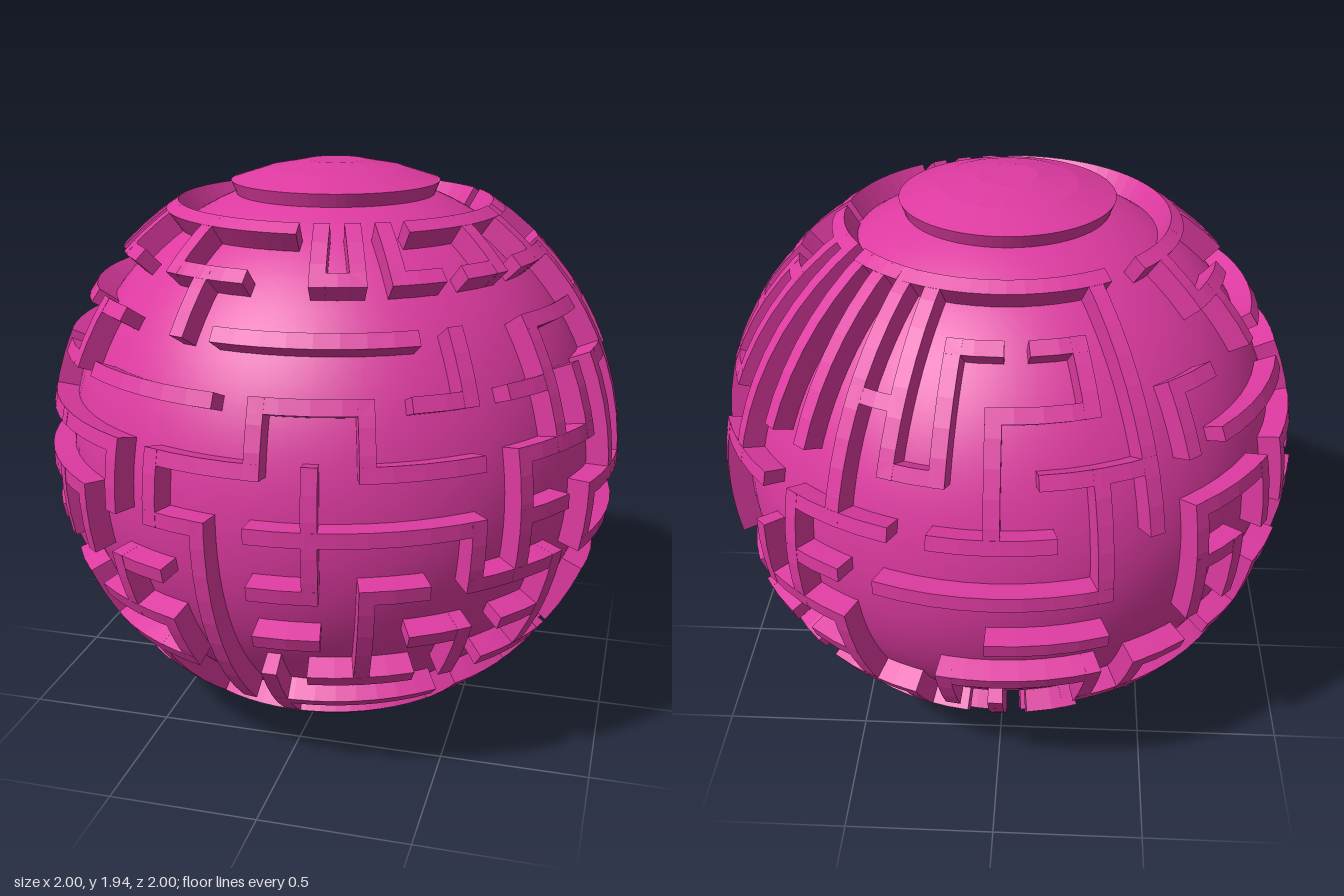
import * as THREE from 'three';
import { mergeGeometries } from 'three/addons/utils/BufferGeometryUtils.js';

const CY = 0.97, R_IN = 0.925, R_OUT = 1.0, HALF = 0.025;
const COL = Math.PI / 18, ROW = Math.PI / 16;

// Wall runs on a grid of meridians (10 deg) and parallels (11.25 deg), row 0 = equator.
// across: row -> [fromColumn, toColumn]; up: [column, fromRow, toRow]
const sectorA = {
  across: {
    4: [[-3, -1], [1, 2], [3, 4]],
    3: [[-5, -4], [-1, 3]],
    2: [[-4, -1], [0, 2], [3, 4]],
    1: [[-5, -3], [-2, 0], [2, 4]],
    0: [[-5, -4], [-2, -1], [0, 4]],
    '-1': [[-3, -2], [0, 1], [2, 3]],
    '-2': [[-4, -2], [0, 1], [3, 4]],
    '-3': [[-6, -2], [1, 3]],
    '-4': [[-5, -4], [0, 4]],
  },
  up: [[-3, 4, 5], [-2, 3, 4], [1, 4, 5], [2, 4, 5], [3, 4, 5], [4, 2, 3], [-5, 2, 3],
    [-2, 0, 1], [0, 1, 2], [2, 1, 2], [1, 0, 1], [-3, 0, 1], [-4, -1, 0], [-1, -4, 0],
    [1, -1, 0], [-3, -2, -1], [-2, -3, -2], [2, -3, -1], [4, -1, 0], [4, -3, -2],
    [0, -5, -3], [-3, -5, -3], [-4, -5, -4]],
};
const sectorB = {
  across: {
    4: [[-4, -3], [-2, 0], [1, 2]],
    3: [[-3, -1], [0, 1]],
    2: [[-4, -3], [-1, 0], [1, 2]],
    1: [[-4, -2], [2, 4]],
    0: [[-4, -3], [-2, 2]],
    '-1': [[-5, -3], [-2, 2]],
    '-2': [[-4, -3], [-1, 2], [3, 4]],
    '-3': [[-4, -2], [2, 4]],
    '-4': [[-4, -1], [1, 2]],
  },
  up: [[0, 0, 4], [-1, 0, 2], [-2, 1, 2], [-3, 1, 3], [-3, 4, 5], [-1, 4, 5], [1, 2, 4],
    [2, 2, 5], [3, 1, 5], [4, 2, 5], [-2, -1, 0], [2, -1, 0], [2, 0, 1], [-4, -1, 1],
    [-1, -3, -2], [2, -3, -2], [-3, -3, -1], [-2, -4, -3], [0, -5, -3], [1, -5, -4],
    [2, -5, -4], [3, -3, -2], [4, -1, 0], [-4, -5, -4]],
};
const sectorC = {
  across: {
    4: [[-1, 0], [1, 2]],
    3: [[0, 2], [-3, -2]],
    2: [[-2, -1], [1, 3]],
    1: [[-4, -2], [-1, 1]],
    0: [[-4, -3], [-2, 2]],
    '-1': [[-5, -3], [0, 2]],
    '-2': [[-4, -3], [-1, 2], [3, 4]],
    '-3': [[-4, -2], [2, 4]],
    '-4': [[-4, -1], [1, 2]],
  },
  up: [[0, 1, 3], [2, 3, 4], [-1, 2, 4], [-2, 2, 5], [-3, 1, 5], [-4, 2, 5], [3, 1, 5],
    [2, 0, 2], [4, -1, 1], [-4, -1, 1], [-1, -3, -2], [2, -3, -2], [-3, -3, -1],
    [-2, -4, -3], [0, -5, -3], [2, -5, -4], [3, -3, -2], [-4, -5, -4]],
};
const upperRing = [[-10, 0], [4, 8], [9, 12], [13, 14.5], [15.2, 21.3], [23.2, 26]];
const lowerRing = [[-3, 9], [10, 18], [19, 32]];

function onSphere(lon, lat, r) {
  const c = Math.cos(lat) * r;
  return [c * Math.sin(lon), Math.sin(lat) * r, c * Math.cos(lon)];
}

// Wall block following the sphere: a box bent onto longitude, latitude and radius.
// Walls keep a constant width, so their angle widens towards the poles.
function bentBox(lon0, lon1, lat0, lat1) {
  const nx = Math.max(1, Math.round((lon1 - lon0) / (COL / 2)));
  const ny = Math.max(1, Math.round((lat1 - lat0) / (ROW / 2)));
  const g = new THREE.BoxGeometry(1, 1, 1, nx, ny, 1);
  const p = g.attributes.position;
  for (let i = 0; i < p.count; i++) {
    const u = p.getX(i);
    const lat = THREE.MathUtils.lerp(lat0, lat1, p.getY(i) + 0.5);
    const lon = THREE.MathUtils.lerp(lon0, lon1, u + 0.5) + 2 * u * HALF / Math.cos(lat);
    p.setXYZ(i, ...onSphere(lon, lat, p.getZ(i) > 0 ? R_OUT : R_IN - 0.03));
  }
  return g;
}
const acrossWall = (row, a, b) => bentBox(a * COL, b * COL, row * ROW - HALF, row * ROW + HALF);
const upWall = (col, a, b) => bentBox(col * COL, col * COL, a * ROW - HALF, b * ROW + HALF);

export function createModel() {
  const group = new THREE.Group();
  const material = new THREE.MeshStandardMaterial({ color: 0xdd3aa0, flatShading: true });
  const smooth = new THREE.MeshStandardMaterial({ color: 0xdd3aa0 });
  const add = (name, geometry, mat = material) => {
    const mesh = new THREE.Mesh(geometry, mat);
    mesh.name = name;
    mesh.position.y = CY;
    group.add(mesh);
    return mesh;
  };

  // Inner ball
  add('ball', new THREE.SphereGeometry(R_IN, 72, 48), smooth);

  // Raised discs at both poles, their rims tapering towards the ball's centre
  const profile = [[0.325, 0.83], [0.355, 0.905], [0.23, 0.945], [0.1, 0.97], [0, 0.97]]
    .map(([x, y]) => new THREE.Vector2(x, y));
  add('topCap', new THREE.LatheGeometry(profile, 72));
  add('bottomCap', new THREE.LatheGeometry(profile, 72)).rotation.x = Math.PI;

  // Maze walls, one sector per side
  const sides = { front: [sectorA, 0], leftSide: [sectorB, 9], back: [sectorC, 18], rightSide: [sectorA, 27] };
  for (const [name, [sector, offset]] of Object.entries(sides)) {
    const walls = sector.up.map(([c, a, b]) => upWall(c + offset, a, b));
    for (const [row, runs] of Object.entries(sector.across))
      for (const [a, b] of runs) walls.push(acrossWall(Number(row), a + offset, b + offset));
    add(name + 'Walls', mergeGeometries(walls));
  }

  // Broken rings around the caps
  add('upperRing', mergeGeometries(upperRing.map(([a, b]) => acrossWall(5, a, b))));
  add('lowerRing', mergeGeometries(lowerRing.map(([a, b]) => acrossWall(-5, a, b))));
  return group;
}
